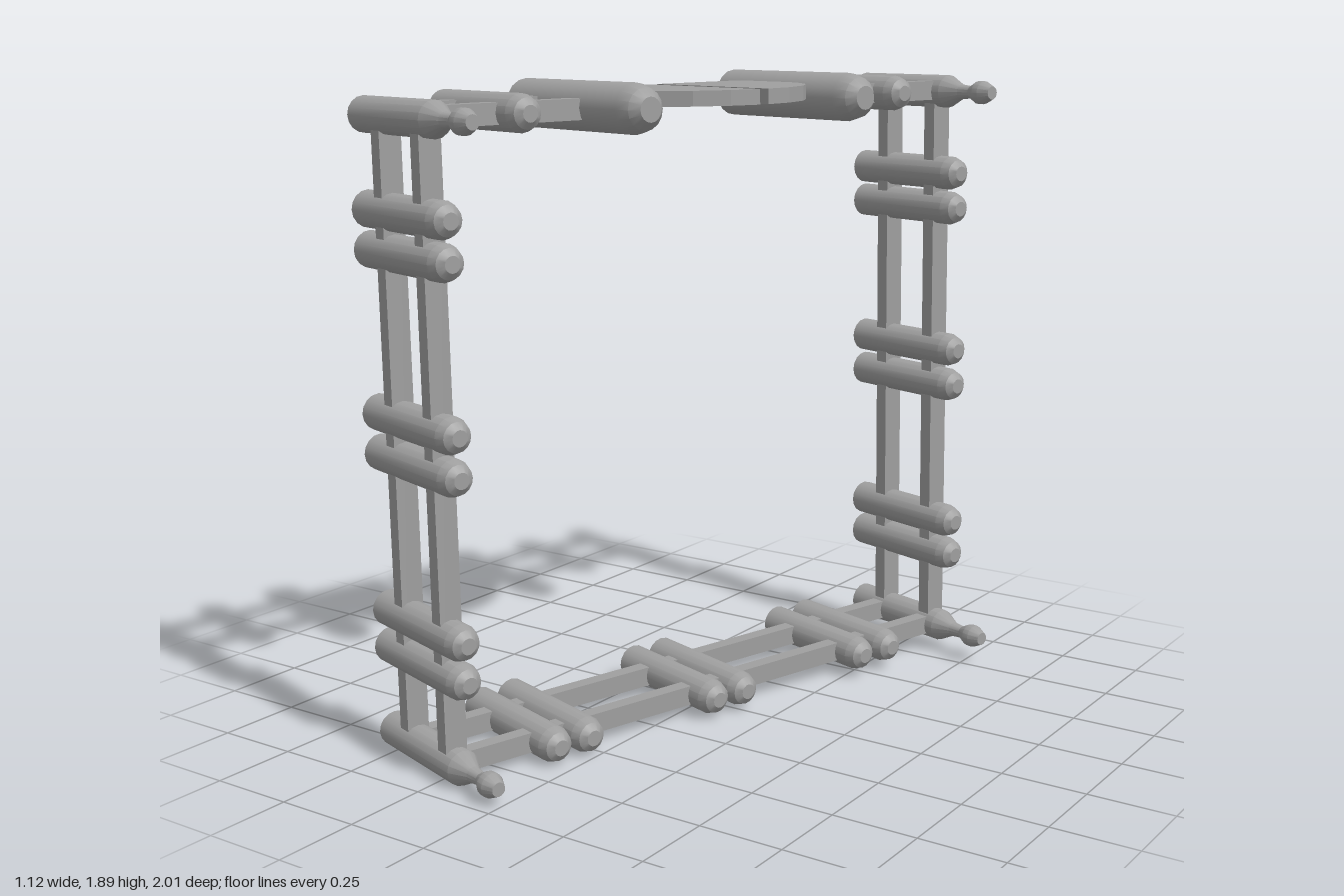
import * as THREE from 'three';
import { toCreasedNormals } from 'three/addons/utils/BufferGeometryUtils.js';

const HALF_H = 0.873; // half height of the square frame
const HALF_W = 0.915; // half length of the square frame
const COLOR = 0x9f9f9f;
const material = new THREE.MeshStandardMaterial({ color: COLOR });
const openMaterial = new THREE.MeshStandardMaterial({ color: COLOR, side: THREE.DoubleSide });

// Turned part along +x from [radius, x] pairs
function turned(profile, sides = 16) {
  const g = new THREE.LatheGeometry(profile.map(([r, x]) => new THREE.Vector2(r, x)), sides);
  g.rotateZ(-Math.PI / 2);
  return toCreasedNormals(g, 0.5);
}

export function createModel() {
  const frame = new THREE.Group();
  frame.name = 'squareFrame';

  const add = (name, geometry, x, y, z, mat = material) => {
    const mesh = new THREE.Mesh(geometry, mat);
    mesh.name = name;
    mesh.position.set(x, y, z);
    frame.add(mesh);
  };

  const rung = turned([
    [0, -0.273], [0.052, -0.273], [0.052, 0.12], [0.042, 0.148], [0.023, 0.163], [0, 0.163],
  ]);
  const bigRung = turned([
    [0, -0.288], [0.069, -0.288], [0.069, 0.24], [0.057, 0.282], [0.034, 0.307], [0, 0.307],
  ]);
  // Corner bar: open at the back end, with a necked knob at the other
  const cornerBar = turned([
    [0.05, -0.273], [0.05, 0.105], [0.023, 0.16], [0.019, 0.2], [0.035, 0.232],
    [0.035, 0.254], [0.02, 0.287], [0, 0.287],
  ]);

  // Corner bars
  for (const sy of [-1, 1]) for (const sz of [-1, 1]) {
    add('cornerBar', cornerBar, 0, sy * HALF_H, sz * HALF_W, openMaterial);
  }

  // Paired rungs on the posts
  for (const t of [0.62, 0.51, 0.057]) for (const s of [-1, 1]) {
    add('frontRung', rung, 0, s * t, HALF_W);
    add('backRung', rung, 0, s * t, -HALF_W);
  }

  // Paired rungs along the bottom
  for (const z of [0.632, 0.522, 0.069, -0.04, -0.52, -0.638]) {
    add('bottomRung', rung, 0, -HALF_H, z);
  }

  // Top rungs: one thin and one thick on each half
  for (const s of [-1, 1]) {
    add('topRung', rung, 0, HALF_H + 0.005, s * 0.667);
    add('thickTopRung', bigRung, 0, HALF_H + 0.008, s * 0.38 + 0.008);
  }

  // Rails joining the bars
  const post = new THREE.BoxGeometry(0.043, 2 * HALF_H, 0.066);
  const bottomRail = new THREE.BoxGeometry(0.045, 0.058, 2 * HALF_W);
  const topRail = new THREE.BoxGeometry(0.047, 0.058, HALF_W - 0.38);
  for (const x of [-0.157, 0.052]) {
    add('bottomRail', bottomRail, x, -HALF_H, 0);
    for (const s of [-1, 1]) {
      add('postRail', post, x, 0, s * HALF_W);
      add('topRail', topRail, x, HALF_H + 0.004, s * (HALF_W + 0.38) / 2);
    }
  }

  // Rounded top plate in two halves, split by a narrow gap
  const R = 0.335, cx = -0.02, edge = -0.195, gap = 0.015;
  for (const s of [-1, 1]) {
    const shape = new THREE.Shape();
    shape.moveTo(edge, s * gap);
    for (let i = 0; i <= 5; i++) {
      const a = (i / 5) * Math.PI / 2;
      shape.lineTo(cx + R * Math.cos(a), s * Math.max(gap, R * Math.sin(a)));
    }
    shape.lineTo(edge, s * R);
    const plate = new THREE.ExtrudeGeometry(shape, { depth: 0.042, bevelEnabled: false });
    plate.rotateX(Math.PI / 2);
    add(s > 0 ? 'frontTopPlate' : 'backTopPlate', plate, 0, HALF_H + 0.048, 0.01);
  }

  // Turn and slightly tilt the whole frame
  frame.rotation.set(0.017, -0.311, 0, 'YXZ');
  frame.position.set(0, 0.94, 0.01);

  const model = new THREE.Group();
  model.name = 'barredFrame';
  model.add(frame);
  return model;
}
